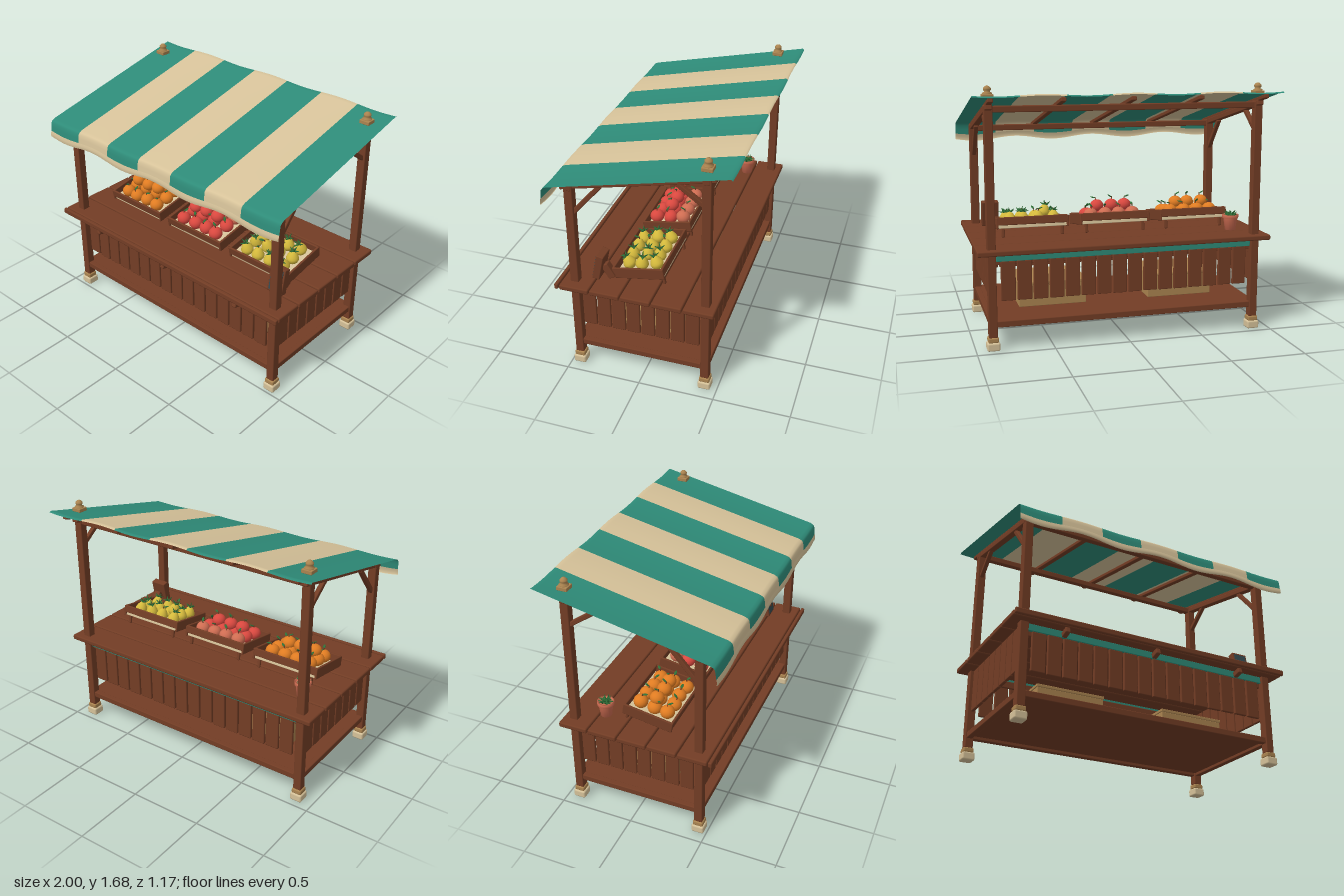
import * as THREE from 'three';
import { RoundedBoxGeometry } from 'three/addons/geometries/RoundedBoxGeometry.js';

const mat = (name, color, side = THREE.FrontSide) => {
  const m = new THREE.MeshStandardMaterial({ color, side });
  m.name = name;
  return m;
};

export function createModel() {
  const wood = mat('wood', 0x733d25), teal = mat('teal', 0x2e8b78, THREE.DoubleSide);
  const cream = mat('cream', 0xd6c299, THREE.DoubleSide), tan = mat('tan', 0xab8450);
  const orange = mat('orange', 0xe07c22), red = mat('red', 0xd9483f), clay = mat('clay', 0xcf6d52);
  const yellow = mat('yellow', 0xd4b93c), green = mat('green', 0x2f7038), slate = mat('slate', 0x34484e);

  const root = new THREE.Group();
  root.name = 'marketStall';
  const group = (name, parent = root) => {
    const g = new THREE.Group();
    g.name = name;
    parent.add(g);
    return g;
  };
  const add = (parent, name, geo, m, x = 0, y = 0, z = 0) => {
    const mesh = new THREE.Mesh(geo, m);
    mesh.name = name;
    mesh.position.set(x, y, z);
    parent.add(mesh);
    return mesh;
  };
  const box = (parent, name, m, w, h, d, x, y, z, r = 0.006) =>
    add(parent, name, new RoundedBoxGeometry(w, h, d, 1, Math.min(r, w / 3, h / 3, d / 3)), m, x, y, z);
  // beam running between two [z, y] points at a given x
  const beam = (parent, name, w, h, x, [z0, y0], [z1, y1]) => {
    const b = box(parent, name, wood, w, h, Math.hypot(z1 - z0, y1 - y0), x, (y0 + y1) / 2, (z0 + z1) / 2);
    b.rotation.x = -Math.atan2(y1 - y0, z1 - z0);
    return b;
  };
  let seed = 7;
  const rand = () => (seed = (seed * 16807) % 2147483647) / 2147483647 - 0.5;

  const PX = 0.89, ZF = 0.443, ZB = -0.417, ZM = (ZF + ZB) / 2;
  const roofY = z => 1.495 - 0.22 * z;

  // posts, feet, braces, side roof beams and finials
  const frame = group('frame');
  for (const x of [-PX, PX]) {
    for (const z of [ZF, ZB]) {
      const top = roofY(z) - 0.03;
      box(frame, 'post', wood, 0.056, top - 0.085, 0.056, x, (top + 0.085) / 2, z);
      box(frame, 'foot', cream, 0.084, 0.055, 0.084, x, 0.0275, z, 0.012);
      box(frame, 'footCollar', tan, 0.07, 0.035, 0.07, x, 0.07, z, 0.01);
    }
    beam(frame, 'frontBrace', 0.03, 0.03, x, [0.43, 1.16], [0.24, 1.38]);
    beam(frame, 'backBrace', 0.03, 0.03, x, [-0.40, 1.36], [-0.22, 1.49]);
    beam(frame, 'sideBeam', 0.045, 0.035, x, [0.50, roofY(0.50) - 0.048], [-0.47, roofY(-0.47) - 0.048]);
    box(frame, 'sideRail', wood, 0.04, 0.042, ZF - ZB, x, 0.17, ZM);
    const finial = group('finial', frame);
    finial.position.set(x, 1.6, ZB);
    box(finial, 'finialBase', tan, 0.07, 0.025, 0.07, 0, 0.012, 0, 0.004);
    const pts = [[0.028, 0.02], [0.03, 0.032], [0.017, 0.038], [0.024, 0.05], [0.024, 0.06], [0.013, 0.072], [0, 0.077]];
    add(finial, 'finialKnob', new THREE.LatheGeometry(pts.map(p => new THREE.Vector2(...p)), 16), tan);
  }
  for (const z of [ZF, ZB]) {
    box(frame, 'longRail', wood, 2 * PX, 0.042, 0.04, 0, 0.17, z);
    box(frame, 'roofBeam', wood, 2 * PX + 0.06, 0.04, 0.04, 0, roofY(z) - 0.055, z);
  }
  for (let i = -2; i <= 2; i++)
    beam(frame, 'rafter', 0.035, 0.026, i * PX / 2, [0.54, roofY(0.54) - 0.024], [-0.56, roofY(-0.56) - 0.024]);
  box(frame, 'lowerShelf', wood, 2 * PX, 0.02, ZF - ZB, 0, 0.18, ZM);

  // counter planks and front edge
  const counter = group('counter');
  for (let i = 0; i < 5; i++)
    box(counter, 'counterPlank', wood, 1.97, 0.036, 0.197, 0, 0.642, 0.425 - i * 0.204, 0.01);
  box(counter, 'counterEdge', wood, 1.97, 0.038, 0.026, 0, 0.643, 0.543, 0.008);

  // upright boards around the body, with cloth trim at front and back
  const body = group('body');
  for (const [z, s] of [[ZF, 1], [ZB, -1]]) {
    for (let i = 0; i < 16; i++)
      box(body, 'panelBoard', wood, 0.094, 0.26 + rand() * 0.006, 0.022, (i - 7.5) * 0.1047, 0.449, z);
    box(body, 'clothTrim', teal, 1.72, 0.045, 0.02, 0, 0.6, z + s * 0.004, 0.003);
    box(body, 'panelRail', wood, 1.74, 0.05, 0.02, 0, 0.575, z - s * 0.018);
  }
  for (const x of [-PX, PX])
    for (let i = 0; i < 8; i++)
      box(body, 'sideBoard', wood, 0.022, 0.292, 0.09, x, 0.474, 0.358 - i * 0.0985);
  for (const x of [-0.635, 0, 0.635])
    box(body, 'frontBracket', wood, 0.034, 0.04, 0.065, x, 0.592, 0.505, 0.008).rotation.x = -0.25;
  for (const x of [-0.45, 0.45]) {
    box(body, 'storageBox', tan, 0.46, 0.15, 0.375, x, 0.267, 0.018, 0.004);
    box(body, 'storageLid', tan, 0.47, 0.02, 0.385, x, 0.35, 0.018, 0.004);
  }

  // striped awning: each strip follows a side profile of [z, y, ripple]
  const awning = group('awning');
  const strip = (name, m, x0, x1, profile) => {
    const nx = Math.round((x1 - x0) / 0.0238);
    const geo = new THREE.PlaneGeometry(1, 1, nx, profile.length - 1);
    const p = geo.attributes.position;
    for (let i = 0; i < p.count; i++) {
      const [z, y, a] = profile[Math.floor(i / (nx + 1))];
      const x = x0 + (x1 - x0) * (p.getX(i) + 0.5);
      p.setXYZ(i, x, y + a * Math.cos(x * Math.PI * 3.5), z);
    }
    geo.computeVertexNormals();
    add(awning, name, geo, m);
  };
  const roofProfile = [[-0.586, 1.614, 0.006], [-0.575, 1.622, 0.006]];
  for (const z of [-0.55, -0.3, 0, 0.3, 0.54]) roofProfile.push([z, roofY(z), 0.005]);
  roofProfile.push([0.562, 1.366, 0.004], [0.572, 1.352, 0.005], [0.576, 1.325, 0.007], [0.58, 1.293, 0.01]);
  for (let i = 0; i < 7; i++) {
    const x0 = -1 + i * 2 / 7;
    strip('awningStripe', i % 2 ? cream : teal, x0, x0 + 2 / 7, roofProfile);
  }
  strip('awningHem', cream, -1, 1, [[0.58, 1.293, 0.01], [0.585, 1.275, 0.012], [0.586, 1.254, 0.014], [0.58, 1.252, 0.014]]);

  // fruit with stems and leaves
  const leafGeo = new THREE.SphereGeometry(1, 8, 6).scale(0.02, 0.004, 0.009).translate(0.018, 0, 0);
  const tuftGeo = new THREE.ConeGeometry(0.011, 0.05, 5).translate(0, 0.024, 0);
  const stemGeo = new THREE.CylinderGeometry(0.003, 0.004, 0.022, 6);
  const roundGeo = new THREE.SphereGeometry(0.048, 18, 12).scale(1, 0.92, 1);
  const pearPts = [[0, 0], [0.025, 0.004], [0.04, 0.024], [0.042, 0.042], [0.033, 0.064], [0.022, 0.08], [0.012, 0.088], [0, 0.09]];
  const pearGeo = new THREE.LatheGeometry(new THREE.SplineCurve(pearPts.map(p => new THREE.Vector2(...p))).getPoints(14)
    .map(p => p.set(Math.max(0, p.x), p.y)), 16).translate(0, -0.045, 0);
  const tuft = (parent, n, x, y, z, size = 1) => {
    for (let i = 0; i < n; i++) {
      const l = add(parent, 'leaf', tuftGeo, green, x, y, z);
      l.rotation.set(0, i * 2 * Math.PI / n, i % 2 ? 1.25 : 0.75, 'YXZ');
      l.scale.setScalar(size);
    }
  };
  const fruit = (parent, m, pear, x, y, z, leafy) => {
    const f = group('fruit', parent);
    f.position.set(x, y, z);
    f.rotation.set(rand() * 0.5, rand() * 6, rand() * 0.5);
    add(f, 'fruitBody', pear ? pearGeo : roundGeo, m);
    add(f, 'stem', stemGeo, wood, 0, 0.05, 0);
    if (pear && leafy) tuft(f, 6, 0, 0.04, 0, 0.9);
    else add(f, 'leaf', leafGeo, green, 0, 0.055, 0).rotation.z = 0.4;
  };

  // three tilted display trays
  const tray = (name, x, colours, pear) => {
    const t = group(name);
    t.position.set(x, 0.664, 0.215);
    t.rotation.x = 0.17;
    box(t, 'trayLiner', cream, 0.465, 0.022, 0.325, 0, 0.013, -0.17, 0.003);
    for (const s of [-1, 1]) {
      box(t, 'traySide', wood, 0.016, 0.075, 0.345, s * 0.238, 0.0375, -0.17);
      box(t, 'trayLeg', wood, 0.022, 0.07, 0.018, s * 0.2, -0.022, -0.32);
    }
    for (const z of [-0.006, -0.334]) box(t, 'trayEnd', wood, 0.475, 0.054, 0.016, 0, 0.05, z);
    let k = 0;
    const place = (fx, fy, fz) => {
      fruit(t, colours[(k * 3 + (k >> 2)) % colours.length], pear, fx + rand() * 0.012, fy, fz + rand() * 0.012, k % 4 !== 1);
      k++;
    };
    for (let r = 0; r < 3; r++)
      for (let c = 0; c < 4; c++) place((c - 1.5) * 0.1, 0.066, -0.075 - r * 0.094);
    if (!pear) for (let c = -1; c <= 1; c++) place(c * 0.1 - 0.02, 0.122, -0.17);
    else place(-0.1, 0.105, -0.2);
  };
  tray('orangeTray', -0.568, [orange], false);
  tray('appleTray', 0, [red, red, clay], false);
  tray('pearTray', 0.568, [yellow], true);

  // leaning price board with a rear prop
  const board = group('priceBoard');
  board.position.set(0.803, 0.753, 0.305);
  board.rotation.x = -0.2;
  box(board, 'boardFrame', wood, 0.116, 0.178, 0.05, 0, 0, 0);
  box(board, 'boardFace', slate, 0.092, 0.15, 0.006, 0, 0, 0.025, 0.001);
  add(board, 'boardMark', new THREE.CylinderGeometry(0.014, 0.014, 0.004, 12).rotateX(Math.PI / 2), wood, 0, -0.015, 0.029);
  box(root, 'boardProp', wood, 0.05, 0.105, 0.05, 0.803, 0.715, 0.25).rotation.x = 0.55;

  // potted plant
  const plant = group('pottedPlant');
  plant.position.set(-0.79, 0.66, -0.247);
  const potPts = [[0, 0], [0.037, 0], [0.047, 0.08], [0.055, 0.082], [0.056, 0.106], [0.047, 0.106], [0.044, 0.09], [0, 0.09]];
  add(plant, 'pot', new THREE.LatheGeometry(potPts.map(p => new THREE.Vector2(...p)), 20), clay);
  tuft(plant, 10, 0, 0.095, 0, 1.1);
  for (let i = 0; i < 5; i++) {
    const a = i * 1.257;
    tuft(plant, 4, 0.022 * Math.cos(a), 0.1, 0.022 * Math.sin(a), 0.8);
  }
  return root;
}
